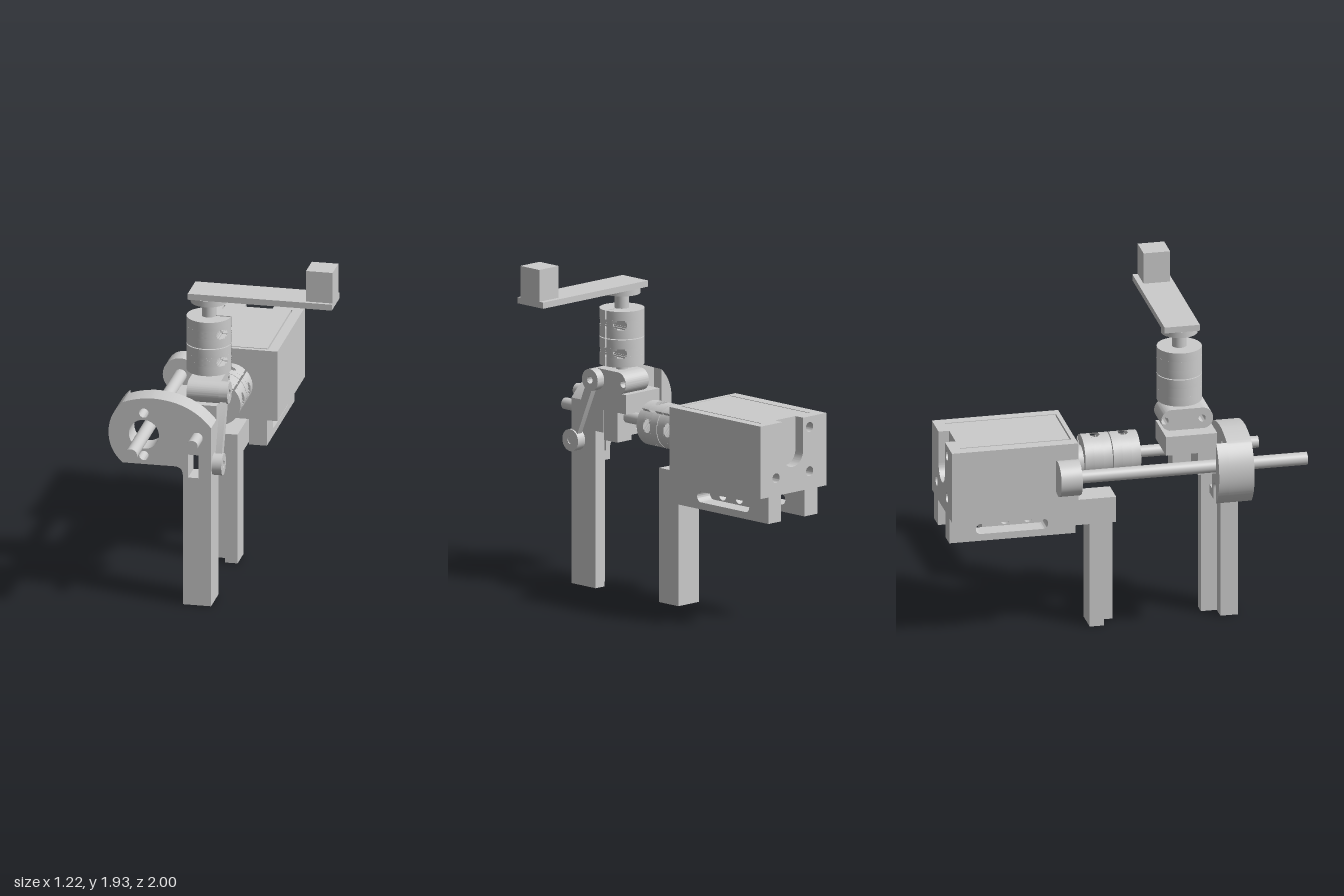
import * as THREE from 'three';
import { toCreasedNormals } from 'three/addons/utils/BufferGeometryUtils.js';

const mat = new THREE.MeshStandardMaterial({ color: 0xcccccc });
const AX = -0.11, AY = 0.985, PZ = 0.345; // drive axis x, y and vertical post z

export function createModel() {
  const root = new THREE.Group();

  // ---- helpers ----
  const add = (name, geo, parent = root) => {
    const m = new THREE.Mesh(geo, mat);
    m.name = name;
    parent.add(m);
    return m;
  };
  const box = (name, x0, x1, y0, y1, z0, z1) =>
    add(name, new THREE.BoxGeometry(x1 - x0, y1 - y0, z1 - z0)
      .translate((x0 + x1) / 2, (y0 + y1) / 2, (z0 + z1) / 2));
  const extrude = (shape, depth) => toCreasedNormals(new THREE.ExtrudeGeometry(shape,
    { depth, bevelEnabled: false, curveSegments: 20 }), 0.6);
  // profile in x,y swept along z
  const alongZ = (name, shape, z0, z1) => add(name, extrude(shape, z1 - z0).translate(0, 0, z0));
  // profile in -z,y swept along x
  const alongX = (name, shape, x0, x1) =>
    add(name, extrude(shape, x1 - x0).rotateY(Math.PI / 2).translate(x0, 0, 0));
  // profile in x,-z swept along y
  const alongY = (name, shape, y0, y1) =>
    add(name, extrude(shape, y1 - y0).rotateX(-Math.PI / 2).translate(0, y0, 0));
  const poly = (pts) => new THREE.Shape(pts.map(p => new THREE.Vector2(...p)));
  const circle = (x, y, r) => new THREE.Path().absarc(x, y, r, 0, Math.PI * 2);
  const rodZ = (name, x, y, r, z0, z1) =>
    add(name, new THREE.CylinderGeometry(r, r, z1 - z0, 32).rotateX(Math.PI / 2).translate(x, y, (z0 + z1) / 2));
  const rodY = (name, r, y0, y1) =>
    add(name, new THREE.CylinderGeometry(r, r, y1 - y0, 32).translate(AX, (y0 + y1) / 2, PZ));
  // rounded bar between two points
  const stadium = (ax, ay, bx, by, r) => {
    const a = Math.atan2(by - ay, bx - ax), q = Math.PI / 2;
    const s = new THREE.Shape().absarc(bx, by, r, a - q, a + q);
    return s.absarc(ax, ay, r, a + q, a + 3 * q);
  };

  // ---- motor housing ----
  const back = new THREE.Shape();
  back.moveTo(-0.37, 0.76);
  back.lineTo(0.14, 0.76);
  back.lineTo(0.14, 1.17);
  back.lineTo(AX + 0.08, 1.17);
  back.lineTo(AX + 0.08, AY);
  back.absarc(AX, AY, 0.08, 0, -Math.PI, true);
  back.lineTo(AX - 0.08, 1.17);
  back.lineTo(-0.37, 1.17);
  for (const [x, y] of [[-0.24, 1.11], [-0.24, 0.86], [0.02, 0.86]]) back.holes.push(circle(x, y, 0.028));
  alongZ('motorBackWall', back, -1, -0.94);
  const grooved = poly([[-0.37, 0.76], [0.14, 0.76], [0.14, 1.17], [0.083, 1.17], [0.083, 1.15], [0.075, 1.15],
    [0.075, 1.17], [-0.297, 1.17], [-0.297, 1.15], [-0.305, 1.15], [-0.305, 1.17], [-0.37, 1.17]]);
  alongZ('motorBody', grooved, -0.94, -0.318);
  box('motorFrontGrooveFloor', -0.37, 0.14, 0.76, 1.15, -0.318, -0.31);
  for (const [x0, x1] of [[-0.37, -0.305], [0.083, 0.14]]) box('motorTopEdge', x0, x1, 1.15, 1.17, -0.318, -0.31);
  box('motorFrontWall', -0.37, 0.14, 0.76, 1.17, -0.31, -0.285);
  rodZ('motorBoss', AX, 0.96, 0.09, -0.285, -0.21);

  // slotted rails below the motor
  for (const [x0, x1] of [[-0.3, -0.2], [-0.02, 0.08]]) {
    const rail = poly([[0.285, 0.61], [1, 0.61], [1, 0.76], [0.285, 0.76]]);
    rail.holes.push(stadium(0.47, 0.68, 0.82, 0.68, 0.03));
    alongX('motorRail', rail, x0, x1);
  }

  // ---- rear leg with sliding arm ----
  const arm = poly([[0.03, 0.61], [0.79, 0.61], [0.79, 0.76], [0.03, 0.76]]);
  for (const z of [0.53, 0.66]) arm.holes.push(circle(z, 0.68, 0.027));
  alongX('rearArm', arm, -0.19, -0.03);
  alongY('rearLeg', poly([[-0.19, 0.18], [-0.19, 0.1], [-0.1, 0.1], [-0.1, 0.03], [-0.03, 0.03], [-0.03, 0.18]].reverse()), 0, 0.61);

  // ---- front leg and bearing plate ----
  alongY('frontLeg', poly([[-0.19, -0.66], [-0.03, -0.66], [-0.03, -0.47], [-0.1, -0.47], [-0.1, -0.56], [-0.19, -0.56]]), 0, 0.7);
  const plate = new THREE.Shape();
  plate.moveTo(-0.03, 0.7);
  plate.lineTo(-0.03, 1.05);
  plate.quadraticCurveTo(-0.15, 1.2, -0.37, 1.2);
  plate.quadraticCurveTo(-0.46, 1.195, -0.53, 1.165);
  plate.quadraticCurveTo(-0.61, 1.09, -0.61, 0.985);
  plate.quadraticCurveTo(-0.61, 0.88, -0.53, 0.81);
  plate.lineTo(-0.24, 0.81);
  plate.quadraticCurveTo(-0.19, 0.81, -0.19, 0.76);
  plate.lineTo(-0.19, 0.7);
  plate.holes.push(circle(-0.41, AY, 0.085), circle(-0.41, 1.11, 0.027), circle(-0.41, 0.86, 0.027),
    poly([[-0.16, 0.75], [-0.1, 0.75], [-0.1, 0.885], [-0.16, 0.885]]));
  alongZ('bearingPlate', plate, 0.52, 0.66);
  const rim = new THREE.Shape();
  rim.moveTo(-0.53, 0.81);
  rim.lineTo(-0.53, 1.165);
  rim.quadraticCurveTo(-0.61, 1.09, -0.61, 0.985);
  rim.quadraticCurveTo(-0.61, 0.88, -0.53, 0.81);
  alongZ('plateRim', rim, 0.46, 0.52);
  box('legRib', -0.1, -0.03, 0.7, 0.89, 0.47, 0.52);
  box('bearingBlock', -0.29, -0.03, 0.89, 1.13, 0.41, 0.52);
  box('bearingBlockTop', -0.29, -0.03, 1.02, 1.13, 0.23, 0.41);

  // ---- shafts and guide rod ----
  rodZ('driveShaft', AX, AY, 0.033, -0.29, 0.79);
  rodZ('guideRod', -0.41, AY, 0.036, -0.41, 1);
  const lug = new THREE.Shape();
  lug.moveTo(-0.37, AY - 0.09);
  lug.lineTo(-0.37, AY + 0.09);
  lug.absarc(-0.41, AY, 0.1, 1.16, Math.PI * 2 - 1.16);
  alongZ('rodLug', lug, -0.41, -0.29);

  // ---- clamp coupling: slit towards local +x, bolt holes across it ----
  const R = 0.125, BX = 0.09, SLIT = 0.006;
  function coupling(name) {
    const g = new THREE.Group();
    g.name = name;
    const half = 0.155;
    const slab = (w, z0, z1) => {
      const cut = w ? BX - w : Math.sqrt(R * R - SLIT * SLIT);
      const a = w ? Math.acos(cut / R) : Math.asin(SLIT / R);
      const s = new THREE.Shape().absarc(0, 0, R, a, Math.PI * 2 - a);
      s.lineTo(cut, -SLIT);
      const b = Math.asin(SLIT / 0.034);
      s.absarc(0, 0, 0.034, -b, b, true);
      s.lineTo(cut, SLIT);
      add('clampRing', extrude(s, z1 - z0).translate(0, 0, z0), g);
      if (!w) return;
      // jaw tips outside the bolt hole
      const c = Math.acos((BX + w) / R), d = Math.asin(SLIT / R);
      for (const up of [1, -1]) {
        const t = new THREE.Shape();
        t.moveTo(BX + w, up * SLIT);
        t.absarc(0, 0, R, up * d, up * c, up < 0);
        add('clampJaw', extrude(t, z1 - z0).translate(0, 0, z0), g);
      }
    };
    for (const side of [-1, 1]) {
      const mid = side * 0.08, r = 0.026, n = 6;
      slab(0, mid - half / 2, mid - r);
      for (let i = 0; i < n; i++) {
        const u = ((i + 0.5) / n) * 2 - 1;
        slab(r * Math.sqrt(1 - u * u), mid - r + (2 * r * i) / n, mid - r + (2 * r * (i + 1)) / n);
      }
      slab(0, mid + r, mid + half / 2);
    }
    add('couplingNeck', new THREE.CylinderGeometry(0.1, 0.1, 0.02, 32).rotateX(Math.PI / 2), g);
    root.add(g);
    return g;
  }
  const driveCoupling = coupling('driveCoupling');
  driveCoupling.position.set(AX, AY, -0.055);
  driveCoupling.rotation.z = Math.PI / 4;
  const postCoupling = coupling('postCoupling');
  postCoupling.position.set(AX, 1.44, PZ);
  postCoupling.rotation.x = -Math.PI / 2;

  // ---- vertical post, slider and hinge ----
  rodY('lowerPost', 0.033, 1.0, 1.3);
  box('slider', -0.14, -0.03, 0.85, 1.065, 0.3, 0.405);
  const hinge = stadium(-0.455, 1.19, -0.285, 1.19, 0.062);
  for (const z of [-0.455, -0.245]) hinge.holes.push(circle(z, 1.19, 0.02));
  alongX('hingeBarrel', hinge, -0.2, -0.02);

  // ---- side link ----
  const LA = [-0.61, 0.825], LB = [-0.455, 1.19];
  const bar = stadium(...LA, ...LB, 0.026);
  bar.holes.push(circle(...LB, 0.02));
  alongX('linkBar', bar, -0.015, 0.02);
  for (const [p, r] of [[LA, 0.062], [LB, 0.062]]) {
    const eye = new THREE.Shape().absarc(...p, r, 0, Math.PI * 2);
    eye.holes.push(circle(...p, 0.021));
    alongX('linkEye', eye, -0.025, 0.03);
  }
  add('linkPin', new THREE.CylinderGeometry(0.021, 0.021, 0.06, 24).rotateZ(Math.PI / 2).translate(-0.005, LA[1], -LA[0]));

  // ---- hand crank ----
  rodY('upperPost', 0.04, 1.57, 1.69);
  rodY('crankHub', 0.102, 1.68, 1.715);
  box('crankArm', -0.21, 0.605, 1.715, 1.75, 0.24, 0.44);
  box('crankHandle', 0.455, 0.605, 1.75, 1.93, 0.27, 0.42);

  return root;
}
